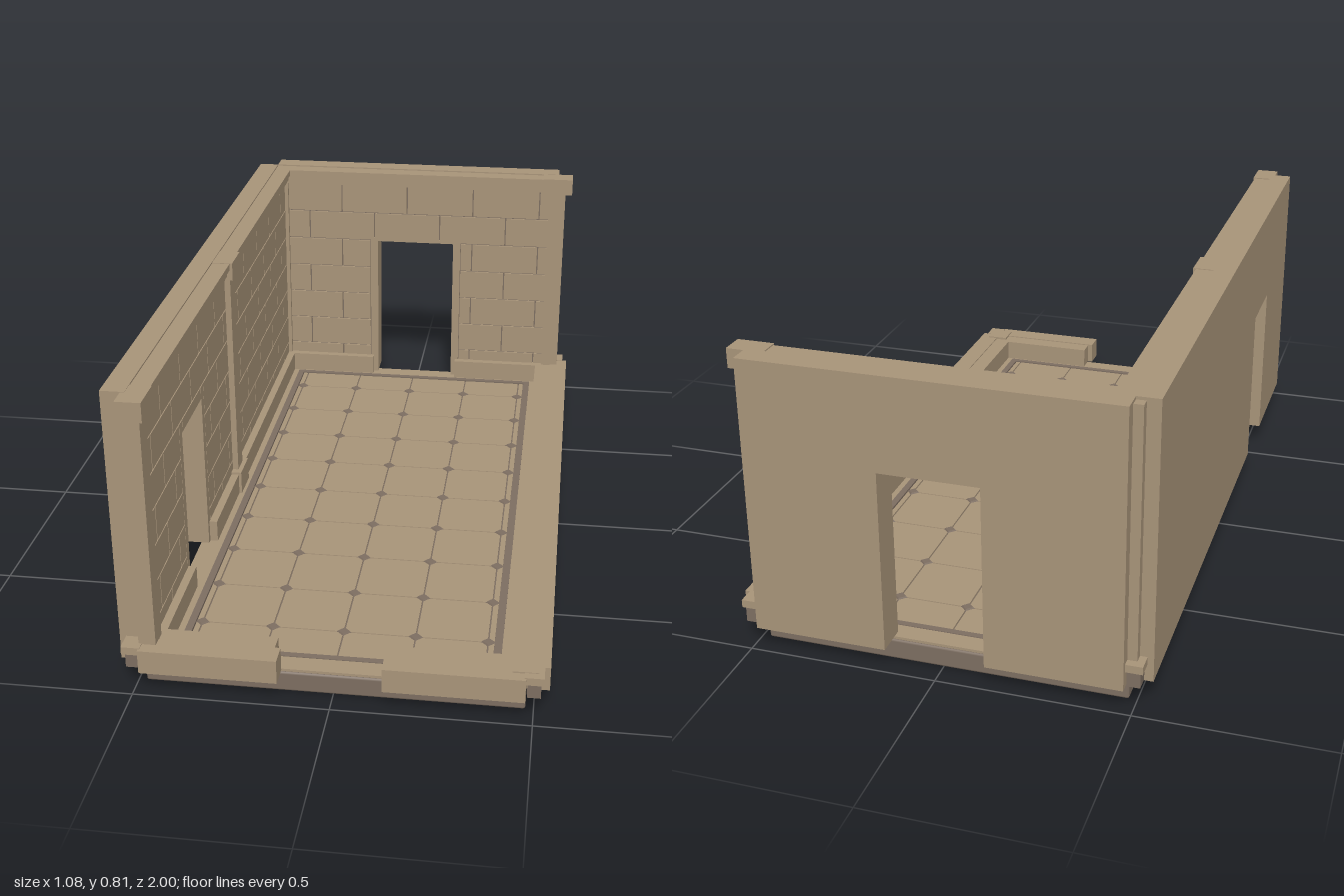
import * as THREE from 'three';
import { RoundedBoxGeometry } from 'three/addons/geometries/RoundedBoxGeometry.js';

const material = (name, color) => Object.assign(new THREE.MeshStandardMaterial({ color }), { name });

export function createModel() {
  const stone = material('tan stone', 0xa89479);
  const dark = material('dark stone', 0x7d6e61);
  const model = new THREE.Group();
  model.name = 'roomSection';

  // Box given by its minimum and maximum on each axis
  const box = (parent, name, mat, x0, x1, y0, y1, z0, z1) => {
    const m = new THREE.Mesh(new THREE.BoxGeometry(x1 - x0, y1 - y0, z1 - z0), mat);
    m.position.set((x0 + x1) / 2, (y0 + y1) / 2, (z0 + z1) / 2);
    m.name = name;
    parent.add(m);
    return m;
  };

  const BOTTOM = 0.065, KERB = 0.13, TOP = 0.808, FRIEZE = 0.755;

  // Upright slab with a doorway open at the bottom
  const slab = (parent, name, mat, half, y1, door, z0, z1) => {
    const s = new THREE.Shape();
    s.moveTo(-half, BOTTOM);
    s.lineTo(door.a, BOTTOM);
    s.lineTo(door.a, door.top);
    s.lineTo(door.b, door.top);
    s.lineTo(door.b, BOTTOM);
    s.lineTo(half, BOTTOM);
    s.lineTo(half, y1);
    s.lineTo(-half, y1);
    const m = new THREE.Mesh(new THREE.ExtrudeGeometry(s, { depth: z1 - z0, bevelEnabled: false }), mat);
    m.position.z = z0;
    m.name = name;
    parent.add(m);
  };

  // Low kerb along one side, split by an optional doorway
  const addKerb = (g, half, door) => {
    const run = (a, b, z0, z1, y) => box(g, 'kerb', stone, a, b, BOTTOM, y, z0, z1);
    if (!door) {
      run(-half, half, -0.058, 0, KERB);
      run(-half, half, 0, 0.05, KERB - 0.003);
      return;
    }
    run(-half, door.a, -0.06, 0, KERB);
    run(door.b, half, -0.06, 0, KERB);
    run(-half, door.a - 0.015, 0, 0.05, KERB - 0.003);
    run(door.b + 0.015, half, 0, 0.05, KERB - 0.003);
  };

  // Staggered bricks, trimmed around the doorway
  const addBricks = (g, half, door, length, shift) => {
    const gap = 0.002, a = door.a - 0.025, b = door.b + 0.025, top = door.top + 0.002;
    const brick = (x0, x1, y0, y1) => {
      if (x1 - x0 > 0.008 && y1 - y0 > 0.008)
        box(g, 'brick', stone, x0 + gap, x1 - gap, y0 + gap, y1 - gap, 0.018, 0.028);
    };
    for (let row = 0; row < 7; row++) {
      const y1 = FRIEZE - row * 0.0985, y0 = Math.max(y1 - 0.0985, KERB - 0.01);
      const start = shift + (row % 2) * length / 2 - 12 * length;
      for (let i = 0; i < 24; i++) {
        const x0 = Math.max(-half, start + i * length), x1 = Math.min(half, start + (i + 1) * length);
        if (x1 <= x0) continue;
        if (y0 >= top - 0.01 || x1 <= a || x0 >= b) { brick(x0, x1, y0, y1); continue; }
        brick(x0, Math.min(x1, a), y0, y1);
        brick(Math.max(x0, b), x1, y0, y1);
        brick(Math.max(x0, a), Math.min(x1, b), Math.max(y0, top), y1);
      }
    }
  };

  // Full wall: plain outside, bricks inside, stepped cornice on top
  const addWall = (g, half, door, length, shift) => {
    slab(g, 'outerWall', stone, half, TOP, door, -0.06, 0);
    slab(g, 'mortar', dark, half - 0.005, TOP - 0.01,
      { a: door.a - 0.01, b: door.b + 0.01, top: door.top + 0.01 }, 0, 0.022);
    addBricks(g, half - 0.005, door, length, shift);
    box(g, 'doorJamb', stone, door.a - 0.025, door.a, BOTTOM, door.top, 0, 0.028);
    box(g, 'doorJamb', stone, door.b, door.b + 0.025, BOTTOM, door.top, 0, 0.028);
    box(g, 'doorLintel', stone, door.a - 0.025, door.b + 0.025, door.top, door.top + 0.012, 0, 0.028);
    [[FRIEZE, 0.766, 0.036], [0.766, 0.785, 0.042], [0.785, 0.804, 0.05]].forEach(([y0, y1, d]) =>
      box(g, 'cornice', stone, -half, half, y0, y1, 0, d));
  };

  // One side of the room; local +z points into the room
  const side = (name, x, z, turn) => {
    const g = new THREE.Group();
    g.name = name;
    g.position.set(x, 0, z);
    g.rotation.y = turn;
    model.add(g);
    return g;
  };
  const endDoor = { a: -0.13, b: 0.13, top: 0.556 };
  const sideDoor = { a: -0.57, b: -0.355, top: 0.522 };

  const back = side('backWall', 0, -0.94, 0);
  addWall(back, 0.48, endDoor, 0.225, -0.03);
  addKerb(back, 0.48, endDoor);

  const right = side('rightWall', -0.48, 0, Math.PI / 2);
  addWall(right, 0.94, sideDoor, 0.196, 0.03);
  addKerb(right, 0.94, sideDoor);

  addKerb(side('frontKerb', 0, 0.94, Math.PI), 0.48, endDoor);
  addKerb(side('leftKerb', 0.48, 0, -Math.PI / 2), 0.94, null);

  // Posts
  box(model, 'middlePost', stone, -0.48, -0.435, BOTTOM, TOP - 0.01, -0.029, 0.029);
  box(model, 'middlePostCap', stone, -0.48, -0.422, FRIEZE, TOP - 0.002, -0.05, 0.05);
  box(model, 'middlePostFoot', stone, -0.48, -0.422, BOTTOM, KERB + 0.004, -0.05, 0.05);
  box(model, 'frontPost', stone, -0.484, -0.44, BOTTOM, TOP - 0.01, 0.914, 0.968);
  box(model, 'frontPostCap', stone, -0.49, -0.426, FRIEZE, TOP - 0.001, 0.895, 0.992);
  box(model, 'backPost', stone, 0.45, 0.505, BOTTOM, TOP - 0.01, -0.945, -0.9);
  box(model, 'backPostCap', stone, 0.43, 0.527, FRIEZE, TOP - 0.001, -0.946, -0.885);
  box(model, 'cornerPost', stone, -0.48, -0.44, BOTTOM, FRIEZE, -0.94, -0.9);
  box(model, 'outerCornerPost', stone, -0.505, -0.478, BOTTOM, TOP - 0.008, -0.965, -0.938);
  box(model, 'lowPostCap', stone, 0.445, 0.51, 0.11, KERB + 0.004, 0.905, 0.97);

  // Small brackets at the four outer corners
  for (const sx of [-1, 1]) for (const sz of [-1, 1]) {
    const g = new THREE.Group();
    g.name = 'cornerBracket';
    g.position.set(sx * 0.5, 0, sz * 0.961);
    box(g, 'bracketStem', dark, -0.017, 0.017, 0.068, 0.112, -0.02, 0.02);
    box(g, 'bracketCap', stone, -0.024, 0.024, 0.111, KERB + 0.002, -0.026, 0.03 - (sz < 0 ? 0.004 : 0));
    model.add(g);
  }

  // Foundation
  const base = new THREE.Mesh(new RoundedBoxGeometry(0.96, 0.056, 1.874, 1, 0.006), dark);
  base.name = 'foundation';
  base.position.y = 0.028;
  model.add(base);
  box(model, 'subfloor', dark, -0.475, 0.475, 0.05, 0.06, -0.932, 0.932);

  // Floor border and dark moulding inside it
  const frame = (name, mat, xo, xi, zo, zi, y) => {
    for (const s of [-1, 1]) {
      box(model, name, mat, -xo, xo, 0.058, y, Math.min(s * zo, s * zi), Math.max(s * zo, s * zi));
      box(model, name, mat, Math.min(s * xo, s * xi), Math.max(s * xo, s * xi), 0.058, y, -zi, zi);
    }
  };
  frame('floorBorder', stone, 0.475, 0.412, 0.935, 0.882, 0.065);
  frame('floorMoulding', dark, 0.412, 0.393, 0.882, 0.865, 0.067);

  // Floor tiles with diamond studs on the crossings
  const xs = [-0.375, -0.1875, 0, 0.1875, 0.375];
  const zs = [-4, -3, -2, -1, 0, 1, 2, 3, 4].map(k => k * 0.188);
  const ex = [-0.393, ...xs, 0.393], ez = [-0.865, ...zs, 0.865];
  for (let i = 0; i < ex.length - 1; i++) for (let j = 0; j < ez.length - 1; j++)
    box(model, 'floorTile', stone, ex[i] + 0.002, ex[i + 1] - 0.002, 0.058, 0.064, ez[j] + 0.002, ez[j + 1] - 0.002);
  const stud = new THREE.CylinderGeometry(0.015, 0.022, 0.008, 4).toNonIndexed();
  stud.computeVertexNormals();
  for (const x of xs) for (const z of zs) {
    const m = new THREE.Mesh(stud, dark);
    m.name = 'floorStud';
    m.position.set(x, 0.064, z);
    model.add(m);
  }
  return model;
}
